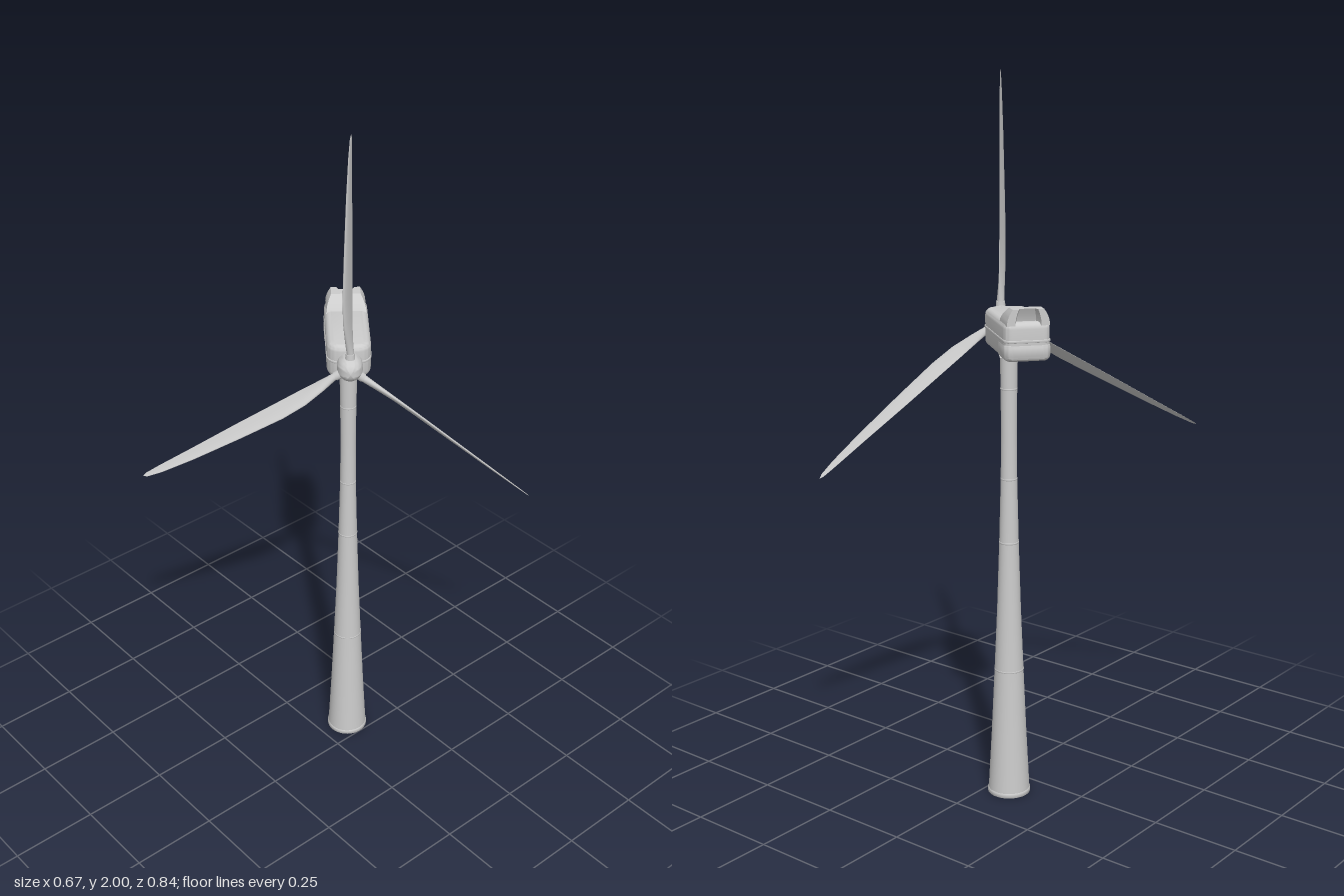
import * as THREE from 'three';
import { toCreasedNormals } from 'three/addons/utils/BufferGeometryUtils.js';

const material = new THREE.MeshStandardMaterial({ color: 0xcccccc });
const openMaterial = new THREE.MeshStandardMaterial({ color: 0xcccccc, side: THREE.DoubleSide });

function addMesh(parent, name, geometry, mat = material) {
  const mesh = new THREE.Mesh(geometry, mat);
  mesh.name = name;
  parent.add(mesh);
  return mesh;
}

const lathe = (points, segments = 40) =>
  new THREE.LatheGeometry(points.map(([r, y]) => new THREE.Vector2(r, y)), segments);

// Rounded plan outline; shape y runs towards the rear of the nacelle
function planShape(halfWidth, front, rear, frontRadius, rearRadius) {
  const s = new THREE.Shape();
  const w = halfWidth;
  s.moveTo(-w + frontRadius, front);
  s.lineTo(w - frontRadius, front);
  s.quadraticCurveTo(w, front, w, front + frontRadius);
  s.lineTo(w, rear - rearRadius);
  s.quadraticCurveTo(w, rear, w - rearRadius, rear);
  s.lineTo(-w + rearRadius, rear);
  s.quadraticCurveTo(-w, rear, -w, rear - rearRadius);
  s.lineTo(-w, front + frontRadius);
  s.quadraticCurveTo(-w, front, -w + frontRadius, front);
  return s;
}

// Upright slab with bevelled rims between two heights
function slab(shape, bottom, top, bevel) {
  const g = new THREE.ExtrudeGeometry(shape, {
    depth: top - bottom - 2 * bevel, bevelEnabled: bevel > 0, bevelSize: bevel,
    bevelThickness: bevel, bevelOffset: -bevel, bevelSegments: 5, curveSegments: 10,
  });
  g.rotateX(-Math.PI / 2);
  g.translate(0, bottom + bevel, 0);
  return toCreasedNormals(g, 0.6);
}

// Cooler hood: U-shaped plan, narrowing upwards with a sloped front
function coolerGeometry() {
  const s = new THREE.Shape([
    [-0.056, 0.138], [0.056, 0.138], [0.056, 0.222], [0.034, 0.222],
    [0.026, 0.195], [-0.026, 0.195], [-0.034, 0.222], [-0.056, 0.222],
  ].map(([x, y]) => new THREE.Vector2(x, y)));
  const g = new THREE.ExtrudeGeometry(s, { depth: 1, steps: 6, bevelEnabled: false });
  g.rotateX(-Math.PI / 2);
  const p = g.attributes.position;
  for (let i = 0; i < p.count; i++) {
    const h = p.getY(i);
    const back = -p.getZ(i);
    const start = 0.138 + 0.044 * Math.pow(h, 1.4);
    const z = start + (back - 0.138) / 0.084 * (0.222 - start);
    p.setXYZ(i, p.getX(i) * (1 - 0.27 * h * h), 1.378 + 0.042 * h, -z);
  }
  return toCreasedNormals(g, 0.6);
}

// Blade along +y, lofted from pitched airfoil sections
function bladeGeometry() {
  // height, chord, chord offset, thickness
  const sections = [
    [0, 0.02, 0, 0.02], [0.05, 0.02, 0, 0.02], [0.09, 0.034, 0.006, 0.018],
    [0.15, 0.05, 0.013, 0.015], [0.22, 0.055, 0.016, 0.013], [0.35, 0.05, 0.014, 0.011],
    [0.5, 0.038, 0.011, 0.008], [0.6, 0.026, 0.006, 0.005], [0.645, 0.014, 0.002, 0.003],
    [0.655, 0.002, 0, 0.001],
  ];
  const n = 20;
  const positions = [];
  const index = [];
  sections.forEach(([y, chord, offset, thick], i) => {
    const pitch = 0.56 - 0.25 * y;
    const taper = Math.min(0.4, Math.max(0, (y - 0.05) * 4));
    for (let j = 0; j < n; j++) {
      const a = j / n * Math.PI * 2;
      const s = offset + chord / 2 * Math.cos(a);
      const t = thick / 2 * Math.sin(a) * (1 - taper + taper * Math.cos(a));
      positions.push(-s * Math.sin(pitch) + t * Math.cos(pitch), y,
        s * Math.cos(pitch) + t * Math.sin(pitch));
      if (i < sections.length - 1) {
        const p = i * n + j;
        const q = i * n + (j + 1) % n;
        index.push(p, q, q + n, p, q + n, p + n);
      }
    }
  });
  const g = new THREE.BufferGeometry();
  g.setAttribute('position', new THREE.Float32BufferAttribute(positions, 3));
  g.setIndex(index);
  g.computeVertexNormals();
  return g;
}

export function createModel() {
  const model = new THREE.Group();
  model.name = 'windTurbine';

  // Everything is laid out around the tower axis, turned to face the wind
  const turbine = new THREE.Group();
  turbine.name = 'turbine';
  turbine.position.set(-0.06, 0, -0.09);
  turbine.rotation.y = 0.896;
  model.add(turbine);

  // Tower, hollow at the foot
  const towerProfile = [
    [0.058, 0], [0.0575, 0.02], [0.049, 0.18], [0.0405, 0.37], [0.033, 0.55],
    [0.027, 0.74], [0.0225, 0.92], [0.0215, 1.05], [0.0225, 1.17], [0.0245, 1.29],
  ];
  addMesh(turbine, 'tower', lathe(towerProfile), openMaterial);
  addMesh(turbine, 'baseFlange', lathe([[0.056, 0], [0.06, 0], [0.06, 0.01], [0.057, 0.013]]), openMaterial);
  for (const [r, y] of [[0.0405, 0.37], [0.027, 0.74], [0.0225, 0.92], [0.0225, 1.17]]) {
    const ring = [[r - 0.001, y - 0.003], [r + 0.0008, y - 0.002], [r + 0.0008, y + 0.002], [r - 0.001, y + 0.003]];
    addMesh(turbine, 'towerSeam', lathe(ring));
  }
  addMesh(turbine, 'yawCollar', lathe([[0.024, 1.265], [0.028, 1.27], [0.028, 1.295]]), openMaterial);

  // Nacelle housing
  const nacelle = new THREE.Group();
  nacelle.name = 'nacelle';
  turbine.add(nacelle);
  addMesh(nacelle, 'housing', slab(planShape(0.06, -0.056, 0.222, 0.045, 0.025), 1.286, 1.386, 0.017));
  addMesh(nacelle, 'sideBelt', slab(planShape(0.0615, -0.057, 0.2235, 0.045, 0.025), 1.334, 1.341, 0.001));
  addMesh(nacelle, 'rearLowerPanel', slab(planShape(0.0615, 0.14, 0.2235, 0.003, 0.025), 1.285, 1.336, 0.015));
  addMesh(nacelle, 'coolerHood', coolerGeometry());

  // Rotor
  const rotor = new THREE.Group();
  rotor.name = 'rotor';
  rotor.position.set(0, 1.345, 0.1);
  turbine.add(rotor);
  const spinner = lathe([
    [0, -0.03], [0.03, -0.03], [0.034, -0.026], [0.035, -0.012], [0.034, 0.002],
    [0.03, 0.016], [0.022, 0.027], [0.012, 0.034], [0, 0.036],
  ]);
  addMesh(rotor, 'spinner', toCreasedNormals(spinner.rotateX(Math.PI / 2), 0.7));
  const shaft = new THREE.CylinderGeometry(0.018, 0.018, 0.04, 24).rotateX(Math.PI / 2);
  addMesh(rotor, 'mainShaft', shaft).position.z = -0.045;

  // Three blades with root collars
  const blade = bladeGeometry();
  const collar = new THREE.CylinderGeometry(0.012, 0.014, 0.025, 20).translate(0, 0.033, 0);
  for (const degrees of [0, 130, 240]) {
    const arm = new THREE.Group();
    arm.name = 'bladeAssembly';
    arm.rotation.z = -THREE.MathUtils.degToRad(degrees);
    addMesh(arm, 'blade', blade);
    addMesh(arm, 'bladeCollar', collar);
    rotor.add(arm);
  }
  return model;
}
